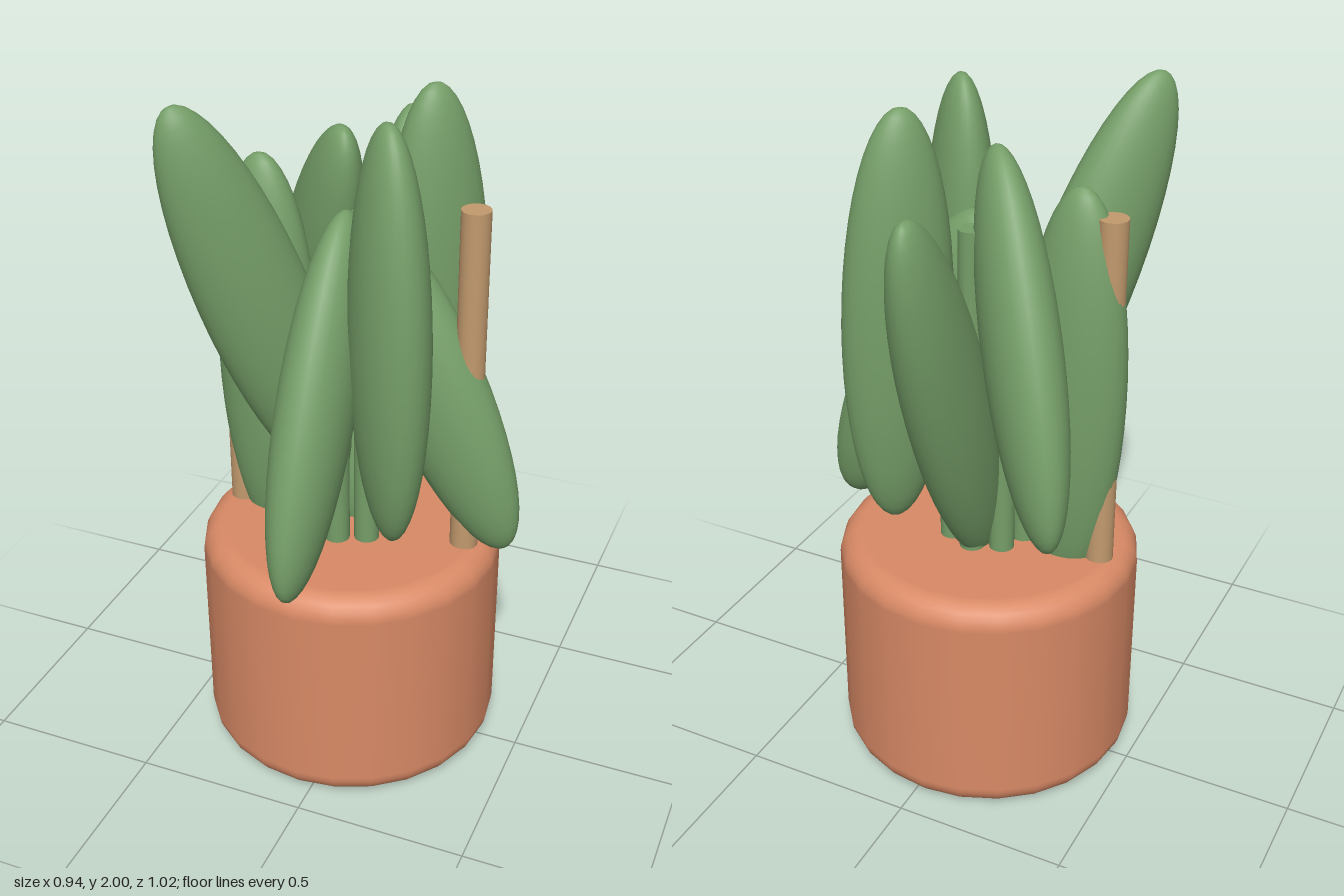
import * as THREE from 'three';

const POT_X = -0.035;
const mat = (color) => new THREE.MeshStandardMaterial({ color });

export function createModel() {
  const model = new THREE.Group();
  model.name = 'pottedPlant';
  const clay = mat(0xd98a66), green = mat(0x759e68), wood = mat(0xc29a6e);

  const add = (parent, name, geometry, material, x = 0, y = 0, z = 0) => {
    const mesh = new THREE.Mesh(geometry, material);
    mesh.name = name;
    mesh.position.set(x, y, z);
    parent.add(mesh);
    return mesh;
  };

  // Solid pot with rounded rim and base
  const R = 0.435, H = 0.695, r = 0.07;
  const profile = [new THREE.Vector2(0, 0)];
  for (let i = 0; i <= 6; i++) {
    const a = -Math.PI / 2 + (i / 6) * Math.PI / 2;
    profile.push(new THREE.Vector2(R - r + r * Math.cos(a), r + r * Math.sin(a)));
  }
  for (let i = 0; i <= 6; i++) {
    const a = (i / 6) * Math.PI / 2;
    profile.push(new THREE.Vector2(R - r + r * Math.cos(a), H - r + r * Math.sin(a)));
  }
  profile.push(new THREE.Vector2(0, H));
  add(model, 'pot', new THREE.LatheGeometry(profile, 24), clay, POT_X);

  // Leaves in a ring, each on a stem: radius, height, half length, inward lean (degrees), stem top
  const leaves = [
    [0.240, 1.185, 0.530, 25, 1.20],  // right side (+x), then every 45 degrees toward the back
    [0.258, 1.380, 0.590, 2, 1.20],
    [0.250, 1.220, 0.620, -20.5, 1.66],
    [0.255, 1.380, 0.530, 24, 1.30],
    [0.248, 1.180, 0.600, -1, 1.40],
    [0.260, 1.420, 0.615, -20.4, 1.20],
    [0.245, 1.185, 0.530, 25, 1.20],
    [0.258, 1.380, 0.590, 2, 1.20],
  ];
  const leafGeometry = new THREE.SphereGeometry(1, 32, 24);
  leaves.forEach(([radius, y, half, lean, stemTop], i) => {
    const shoot = new THREE.Group();
    shoot.name = 'shoot' + (i + 1);
    shoot.position.x = POT_X;
    shoot.rotation.y = (i * Math.PI) / 4;
    const leaf = add(shoot, 'leaf', leafGeometry, green, radius, y, 0);
    leaf.scale.set(0.152, half, 0.1);
    leaf.rotation.z = THREE.MathUtils.degToRad(lean);
    const length = stemTop - 0.6;
    add(shoot, 'stem', new THREE.CylinderGeometry(0.036, 0.036, length, 16), green, 0.11, 0.6 + length / 2, 0);
    model.add(shoot);
  });

  // Two support stakes
  for (const side of [-1, 1]) {
    add(model, side < 0 ? 'rightStake' : 'leftStake',
      new THREE.CylinderGeometry(0.04, 0.04, 1.11, 20), wood, POT_X + side * 0.345, 1.155, 0);
  }
  return model;
}
